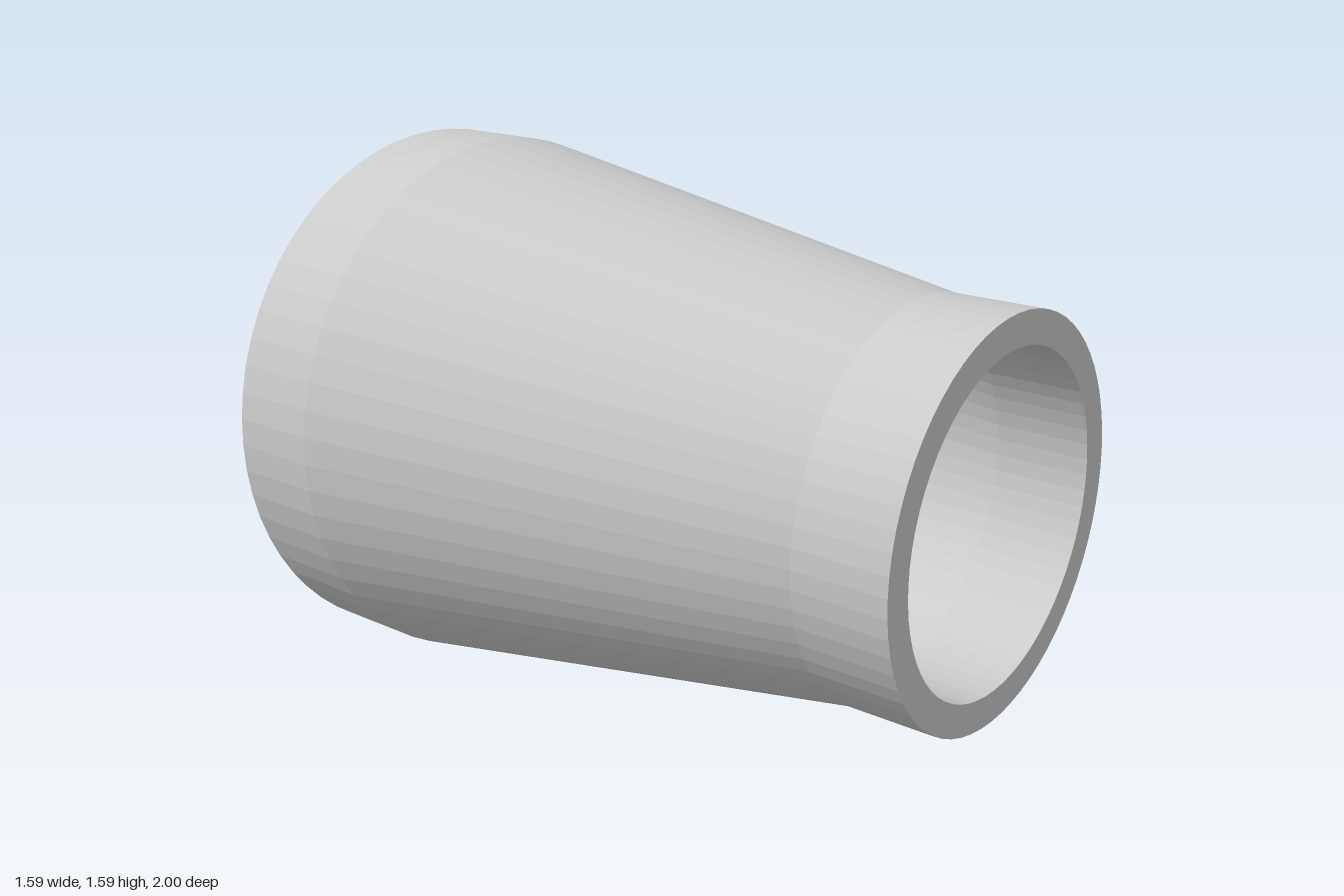
import * as THREE from 'three';

export function createModel() {
  const group = new THREE.Group();
  group.name = 'pipeReducer';

  // Closed wall section as [radius, position along axis]: outside back to front, then inside front to back
  const section = [
    [0.793, -1], [0.793, -0.73], [0.553, 0.73], [0.553, 1],
    [0.463, 1], [0.463, 0.73], [0.698, -0.73], [0.698, -1],
    [0.793, -1],
  ].map(([r, a]) => new THREE.Vector2(r, a));

  // Hollow tapered pipe with a straight collar at each end, axis turned to face +z
  const geometry = new THREE.LatheGeometry(section, 64);
  geometry.rotateX(Math.PI / 2);
  const material = new THREE.MeshStandardMaterial({ color: 0xcccccc, flatShading: true });
  const pipe = new THREE.Mesh(geometry, material);
  pipe.name = 'taperedPipe';
  pipe.position.y = 0.793;
  group.add(pipe);

  return group;
}
